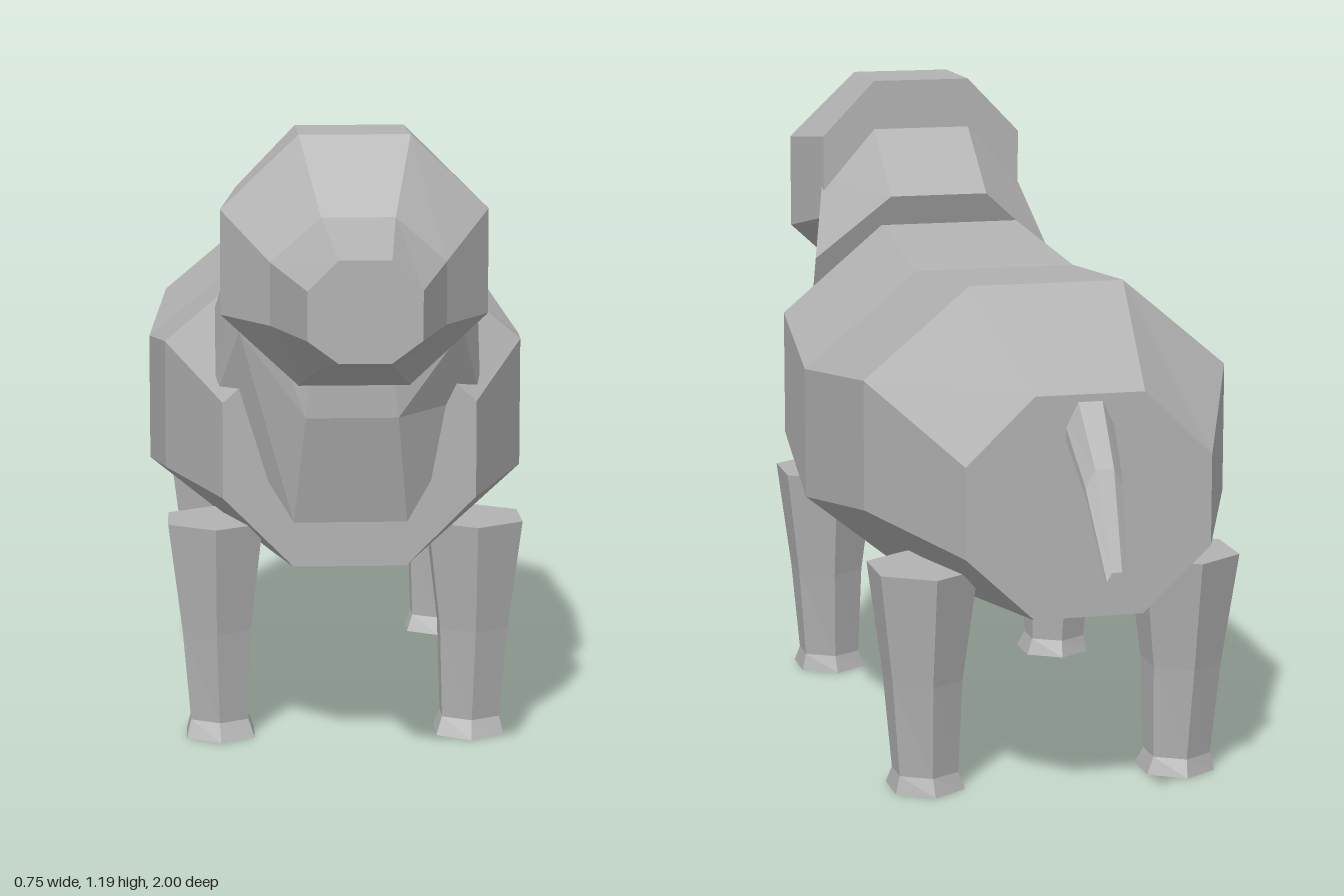
import * as THREE from 'three';

// Skin a list of rings (counter-clockwise seen from the first ring's outer side), capped, with flat facets
function loft(rings) {
  const n = rings[0].length, pos = [], idx = [];
  rings.forEach(r => r.forEach(p => pos.push(...p)));
  for (let k = 0; k < rings.length - 1; k++) {
    for (let i = 0; i < n; i++) {
      const a = k * n + i, d = k * n + (i + 1) % n, b = a + n, c = d + n;
      idx.push(a, b, c, a, c, d);
    }
  }
  const last = (rings.length - 1) * n;
  for (let i = 1; i < n - 1; i++) {
    idx.push(0, i, i + 1);
    idx.push(last, last + i + 1, last + i);
  }
  const g = new THREE.BufferGeometry();
  g.setAttribute('position', new THREE.Float32BufferAttribute(pos, 3));
  g.setIndex(idx);
  const flat = g.toNonIndexed();
  flat.computeVertexNormals();
  return flat;
}

// Eight-sided section: heights of its four levels, half-widths, and z at the top and bottom
function octagon([top, upper, lower, bottom], [topX, sideX, bottomX], zTop, zBottom = zTop) {
  const z = y => zTop + (zBottom - zTop) * (top - y) / (top - bottom);
  return [
    [bottomX, bottom], [sideX, lower], [sideX, upper], [topX, top],
    [-topX, top], [-sideX, upper], [-sideX, lower], [-bottomX, bottom],
  ].map(([x, y]) => [x, y, z(y)]);
}

export function createModel() {
  const model = new THREE.Group();
  model.name = 'animal';
  const coat = new THREE.MeshStandardMaterial({ color: 0xb2b2b2 });
  coat.name = 'grey coat';

  const add = (name, rings) => {
    const mesh = new THREE.Mesh(loft(rings), coat);
    mesh.name = name;
    model.add(mesh);
  };

  // Trunk, chest to rump
  add('body', [
    octagon([0.80, 0.68, 0.50, 0.37], [0.10, 0.235, 0.105], 0.47),
    octagon([0.925, 0.755, 0.51, 0.343], [0.14, 0.342, 0.14], 0.20),
    octagon([0.89, 0.71, 0.46, 0.283], [0.155, 0.375, 0.155], -0.17),
    octagon([0.92, 0.755, 0.515, 0.345], [0.145, 0.342, 0.145], -0.54),
    octagon([0.77, 0.65, 0.485, 0.368], [0.10, 0.225, 0.10], -0.83),
  ]);

  // Leaning neck, from inside the head down to the chest
  add('neck', [
    octagon([1.10, 1.02, 0.90, 0.80], [0.08, 0.17, 0.07], 0.50, 0.56),
    octagon([1.09, 0.99, 0.82, 0.665], [0.10, 0.205, 0.085], 0.44, 0.555),
    octagon([0.97, 0.84, 0.68, 0.46], [0.10, 0.247, 0.105], 0.285, 0.50),
  ]);

  // Head tapering into the muzzle
  add('head', [
    octagon([1.012, 0.96, 0.875, 0.836], [0.045, 0.098, 0.045], 1.0),
    octagon([1.058, 0.98, 0.868, 0.793], [0.065, 0.155, 0.065], 0.77),
    octagon([1.19, 1.057, 0.868, 0.738], [0.10, 0.24, 0.10], 0.63),
    octagon([1.19, 1.078, 0.91, 0.84], [0.10, 0.208, 0.08], 0.44),
  ]);

  // Thin drooping tail
  const tail = [
    [0.71, 0.045, 0.058, -0.82],
    [0.615, 0.034, 0.04, -0.92],
    [0.47, 0.018, 0.02, -1.0],
  ];
  add('tail', tail.map(([y, hx, hy, z]) =>
    octagon([y + hy, y + hy * 0.2, y - hy * 0.2, y - hy], [hx * 0.5, hx, hx * 0.5], z)));

  // Six-sided legs: height, centre x, centre z, half-width, half-depth
  const leg = [
    [0.42, 0.248, 0.258, 0.09, 0.118],
    [0.21, 0.247, 0.262, 0.065, 0.085],
    [0.033, 0.242, 0.265, 0.055, 0.064],
    [0, 0.24, 0.271, 0.065, 0.083],
  ];
  for (const [end, shift] of [['front', 0], ['hind', -0.855]]) {
    for (const [side, s] of [['Left', 1], ['Right', -1]]) {
      add(end + side + 'Leg', leg.map(([y, cx, cz, hx, hz]) =>
        Array.from({ length: 6 }, (_, i) => {
          const a = Math.PI / 6 + i * Math.PI / 3;
          return [s * cx + hx * Math.cos(a) / Math.cos(Math.PI / 6), y, cz + shift - hz * Math.sin(a)];
        })));
    }
  }
  return model;
}
